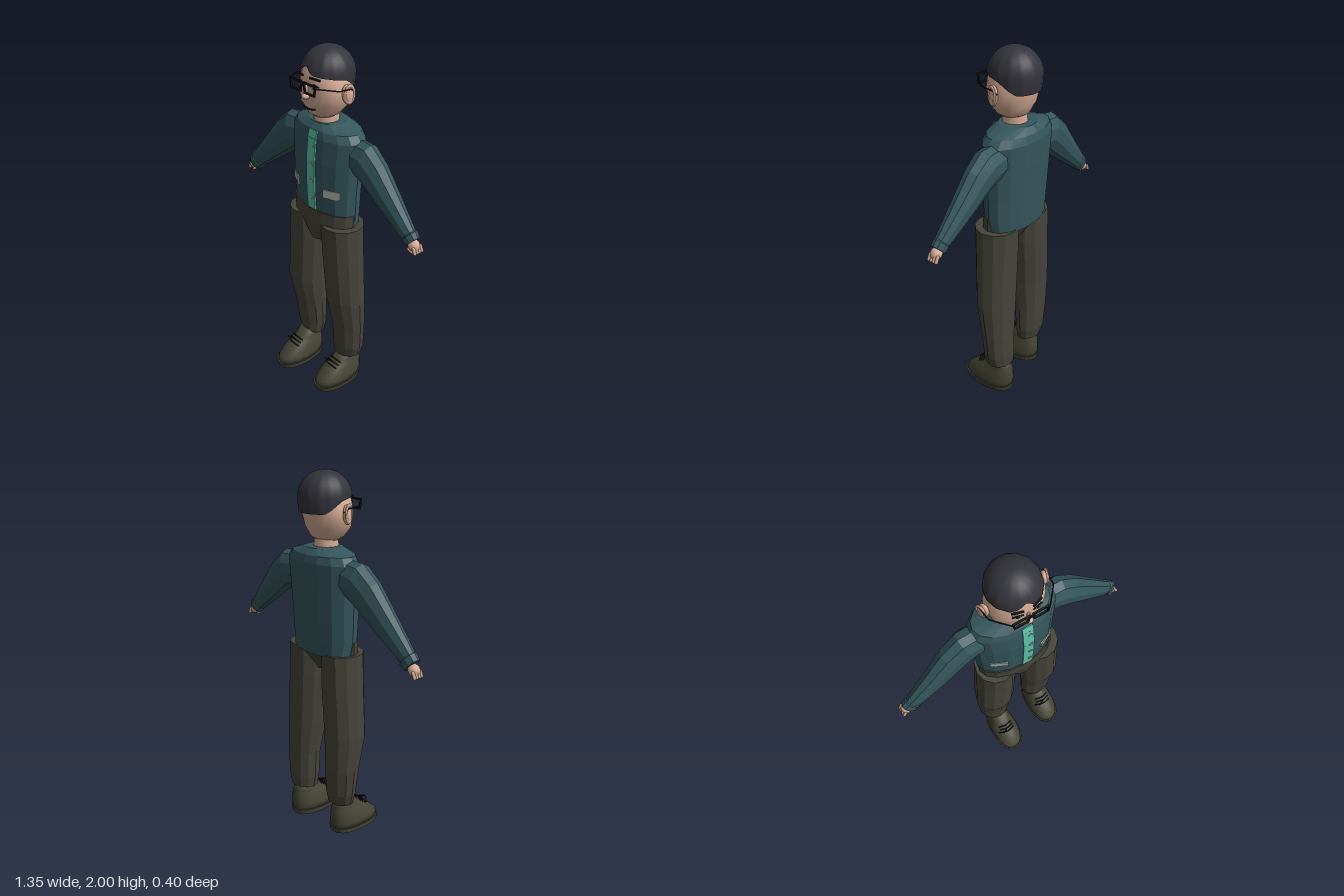
import * as THREE from 'three';

const mat = (name, color, extra = {}) => Object.assign(new THREE.MeshStandardMaterial({ color, ...extra }), { name });
const M = {
  shirt: mat('shirt teal', 0x35575d),
  placket: mat('placket mint', 0x5cc2a8),
  patch: mat('patch grey', 0xa3aaa0),
  trousers: mat('trouser olive', 0x46443a),
  shoe: mat('shoe olive', 0x454536),
  hair: mat('hair charcoal', 0x33333b, { side: THREE.DoubleSide }),
  skin: mat('skin', 0xd6ab95),
  ink: mat('ink black', 0x151518),
  white: mat('eye grey', 0xb9bcb8),
};

const V = (x, y, z) => new THREE.Vector3(x, y, z);

function add(parent, name, geometry, material, pos = [0, 0, 0], rot = [0, 0, 0], scale = [1, 1, 1]) {
  const mesh = new THREE.Mesh(geometry, material);
  mesh.name = name;
  mesh.position.set(...pos);
  mesh.rotation.set(...rot);
  mesh.scale.set(...scale);
  parent.add(mesh);
  return mesh;
}

// Skin elliptical rings {c, ru, rv, a} into a closed body; a turns the ring in the xy plane.
function loft(rings, sides, flat, power = 1) {
  const pos = [], idx = [];
  const bend = v => Math.sign(v) * Math.abs(v) ** power;
  for (const { c, ru, rv, a } of rings) {
    for (let i = 0; i < sides; i++) {
      const t = (i / sides) * Math.PI * 2;
      const u = bend(Math.cos(t)) * ru, v = bend(Math.sin(t)) * rv;
      pos.push(c[0] + Math.cos(a) * u, c[1] + Math.sin(a) * u, c[2] - v);
    }
  }
  const n = rings.length;
  for (let r = 0; r < n - 1; r++) {
    for (let i = 0; i < sides; i++) {
      const j = (i + 1) % sides, p = r * sides, q = p + sides;
      idx.push(p + i, p + j, q + j, p + i, q + j, q + i);
    }
  }
  const first = n * sides;
  pos.push(...rings[0].c, ...rings[n - 1].c);
  for (let i = 0; i < sides; i++) {
    const j = (i + 1) % sides, top = (n - 1) * sides;
    idx.push(first, j, i, first + 1, top + i, top + j);
  }
  let g = new THREE.BufferGeometry();
  g.setAttribute('position', new THREE.Float32BufferAttribute(pos, 3));
  g.setIndex(idx);
  if (flat) g = g.toNonIndexed();
  g.computeVertexNormals();
  return g;
}

// Level rings given as [y, xMin, xMax, zBack, zFront], bottom to top
const upright = (rows, sides, flat, power) => loft(rows.map(([y, x0, x1, z0, z1]) =>
  ({ c: [(x0 + x1) / 2, y, (z0 + z1) / 2], ru: (x1 - x0) / 2, rv: (z1 - z0) / 2, a: 0 })), sides, flat, power);

// Rings across a path of [x, y, z, radius in xy, radius in z]
const limb = (rows, sides) => loft(rows.map(([x, y, z, ru, rv], i) => {
  const p = rows[Math.max(i - 1, 0)], q = rows[Math.min(i + 1, rows.length - 1)];
  return { c: [x, y, z], ru, rv, a: Math.atan2(p[0] - q[0], q[1] - p[1]) };
}), sides, true);

const wire = (points, r) => new THREE.TubeGeometry(
  new THREE.CatmullRomCurve3(points.map(p => V(...p)), false, 'catmullrom', 0.1), points.length * 5, r, 5);

function buildTorso(g) {
  add(g, 'shirt', upright([
    [1.06, -0.19, 0.23, -0.172, 0.03], [1.14, -0.2, 0.24, -0.178, 0.06], [1.25, -0.205, 0.243, -0.185, 0.068],
    [1.42, -0.212, 0.25, -0.195, 0.07], [1.55, -0.22, 0.258, -0.2, 0.06], [1.59, -0.195, 0.225, -0.19, 0.05],
    [1.62, -0.095, 0.125, -0.16, 0.025]], 16, true), M.shirt);
  // Strip of plates down the shirt front
  const line = [[1.145, 0.061], [1.25, 0.068], [1.42, 0.07], [1.55, 0.06], [1.59, 0.05]];
  for (let i = 0; i < line.length - 1; i++) {
    const [y0, z0] = line[i], [y1, z1] = line[i + 1];
    add(g, 'placket', new THREE.BoxGeometry(0.06, Math.hypot(y1 - y0, z1 - z0), 0.008), M.placket,
      [0.035, (y0 + y1) / 2, (z0 + z1) / 2], [Math.atan2(z1 - z0, y1 - y0), 0, 0]);
  }
  for (const [y, z] of [[1.215, 0.07], [1.315, 0.073], [1.41, 0.074], [1.51, 0.067]])
    add(g, 'button', new THREE.CylinderGeometry(0.011, 0.011, 0.006, 8), M.patch, [0.045, y, z], [Math.PI / 2, 0, 0]);
  for (const s of [-1, 1])
    add(g, 'pocket', new THREE.BoxGeometry(0.095, 0.045, 0.009), M.patch,
      [0.021 + s * 0.139, 1.263, 0.037], [0, s * 0.48, 0]);
}

function buildArms(g) {
  const arms = {
    rightSleeve: [[-0.13, 1.49, -0.065, 0.09, 0.07], [-0.24, 1.475, -0.065, 0.105, 0.075], [-0.31, 1.42, -0.062, 0.1, 0.068],
      [-0.43, 1.305, -0.055, 0.078, 0.056], [-0.56, 1.185, -0.05, 0.053, 0.04], [-0.58, 1.165, -0.05, 0.05, 0.036],
      [-0.583, 1.162, -0.05, 0.056, 0.042], [-0.612, 1.135, -0.05, 0.05, 0.038]],
    leftSleeve: [[0.17, 1.48, -0.08, 0.09, 0.07], [0.28, 1.465, -0.082, 0.103, 0.073], [0.345, 1.42, -0.08, 0.093, 0.068],
      [0.46, 1.317, -0.077, 0.073, 0.056], [0.585, 1.21, -0.072, 0.05, 0.04], [0.605, 1.195, -0.072, 0.046, 0.035],
      [0.608, 1.193, -0.072, 0.051, 0.04], [0.633, 1.17, -0.072, 0.045, 0.036]],
  };
  for (const [name, path] of Object.entries(arms)) add(g, name, limb(path, 10), M.shirt);

  // Small curled hands with four fingers and a thumb
  const finger = new THREE.CapsuleGeometry(0.009, 0.026, 3, 7);
  for (const [name, s, x, y, z] of [['rightHand', -1, -0.62, 1.122, -0.053], ['leftHand', 1, 0.637, 1.16, -0.07]]) {
    const hand = new THREE.Group();
    hand.name = name;
    hand.position.set(x, y, z);
    hand.rotation.z = s * 0.8;
    add(hand, 'palm', new THREE.SphereGeometry(1, 10, 8), M.skin, [0, -0.008, 0], [0, 0, 0], [0.03, 0.034, 0.032]);
    for (let i = 0; i < 4; i++)
      add(hand, 'finger', finger, M.skin, [s * 0.006, -0.036, -0.026 + i * 0.016], [0, 0, -s * 0.35]);
    add(hand, 'thumb', finger, M.skin, [-s * 0.024, -0.025, 0.015], [0.3, 0, s * 0.2]);
    g.add(hand);
  }
}

function buildLegs(g) {
  add(g, 'hips', upright([[0.95, -0.025, 0.095, -0.09, 0.05], [1.07, -0.195, 0.24, -0.16, 0.069],
    [1.14, -0.2, 0.24, -0.165, 0.066]], 16, true), M.trousers);
  add(g, 'rightTrouserLeg', upright([
    [0.185, -0.195, -0.03, -0.125, 0.0], [0.25, -0.215, -0.02, -0.14, 0.005], [0.4, -0.227, -0.02, -0.15, 0.025],
    [0.6, -0.24, -0.01, -0.155, 0.07], [0.9, -0.225, 0.01, -0.16, 0.07], [1.07, -0.215, 0.005, -0.16, 0.073]], 12, true), M.trousers);
  add(g, 'leftTrouserLeg', upright([
    [0.185, 0.1, 0.27, -0.155, -0.01], [0.25, 0.09, 0.29, -0.16, 0.0], [0.4, 0.088, 0.298, -0.16, 0.012],
    [0.6, 0.065, 0.302, -0.16, 0.05], [0.9, 0.045, 0.285, -0.16, 0.065], [1.07, 0.04, 0.277, -0.16, 0.073]], 12, true), M.trousers);

  const sole = upright([[0, -0.085, 0.085, -0.16, 0.155], [0.03, -0.089, 0.089, -0.165, 0.16]], 28, true, 0.85);
  const upper = upright([[0.02, -0.083, 0.083, -0.16, 0.155], [0.06, -0.083, 0.083, -0.163, 0.143],
    [0.1, -0.074, 0.074, -0.163, 0.095], [0.13, -0.065, 0.065, -0.16, 0.055], [0.155, -0.056, 0.056, -0.153, 0.008],
    [0.2, -0.052, 0.052, -0.145, -0.025]], 24, false, 0.88);
  for (const [name, x, z] of [['rightShoe', -0.115, 0.042], ['leftShoe', 0.185, 0]]) {
    const shoe = new THREE.Group();
    shoe.name = name;
    shoe.position.set(x, 0, z);
    add(shoe, 'sole', sole, M.shoe);
    add(shoe, 'upper', upper, M.shoe);
    for (let i = 0; i < 3; i++)
      add(shoe, 'lace', wire([[-0.045, 0.125 + i * 0.013, 0.045 - i * 0.017], [0, 0.14 + i * 0.012, 0.06 - i * 0.018],
        [0.045, 0.125 + i * 0.013, 0.045 - i * 0.017]], 0.004), M.ink);
    add(shoe, 'laceEnd', wire([[0, 0.155, 0.04], [-0.03, 0.16, 0.06], [-0.06, 0.135, 0.04]], 0.004), M.ink);
    g.add(shoe);
  }
}

// Grooved cap of hair, long at the nape and swept up from a parting on the brow
function hairCap() {
  const around = 72, down = 12, pos = [], idx = [];
  for (let j = 0; j <= down; j++) {
    for (let i = 0; i <= around; i++) {
      const t = (i / around) * Math.PI * 2, front = Math.cos(t), side = Math.sin(t);
      let rim = front > 0 ? 1.855 + 0.025 * front : 1.855 + 0.062 * Math.max(-1, front * 1.6);
      rim += 0.035 * Math.exp(-(((side + 0.1) / 0.25) ** 2)) * (front > 0 ? 1 : 0);
      const a = (j / down) * Math.acos((rim - 1.865) / 0.135);
      const groove = 1 - 0.025 * Math.abs(Math.cos(t * 7)) * Math.sin(a);
      const r = Math.sin(Math.min(a, Math.PI / 2 + (a - Math.PI / 2) * 0.5)) * groove;
      pos.push(0.022 + side * r * 0.136, 1.865 + 0.135 * Math.cos(a), -0.054 + front * r * 0.141);
    }
  }
  for (let j = 0; j < down; j++) {
    for (let i = 0; i < around; i++) {
      const p = j * (around + 1) + i, q = p + around + 1;
      idx.push(p, q, q + 1, p, q + 1, p + 1);
    }
  }
  const geo = new THREE.BufferGeometry();
  geo.setAttribute('position', new THREE.Float32BufferAttribute(pos, 3));
  geo.setIndex(idx);
  geo.computeVertexNormals();
  return geo;
}

function buildHead(g) {
  const ball = new THREE.SphereGeometry(1, 14, 10);
  add(g, 'neck', new THREE.CylinderGeometry(0.063, 0.068, 0.1, 14), M.skin, [0.018, 1.635, -0.05]);
  add(g, 'head', upright([[1.648, -0.04, 0.075, -0.095, 0.02], [1.668, -0.07, 0.105, -0.125, 0.048],
    [1.72, -0.115, 0.15, -0.148, 0.072], [1.79, -0.13, 0.169, -0.163, 0.08], [1.85, -0.107, 0.149, -0.168, 0.08],
    [1.9, -0.09, 0.132, -0.16, 0.066], [1.95, -0.055, 0.1, -0.12, 0.025]], 24, false), M.skin);
  add(g, 'hair', hairCap(), M.hair);
  add(g, 'nose', ball, M.skin, [0.02, 1.772, 0.085], [0, 0, 0], [0.018, 0.017, 0.025]);
  add(g, 'noseBridge', ball, M.skin, [0.02, 1.8, 0.078], [0.3, 0, 0], [0.01, 0.035, 0.014]);
  add(g, 'mouth', wire([[-0.02, 1.704, 0.065], [0.025, 1.7, 0.069], [0.07, 1.711, 0.063]], 0.004), M.ink);

  const rim = new THREE.Shape();
  rim.moveTo(-0.046, 0.03).lineTo(-0.038, -0.027).lineTo(0.038, -0.027).lineTo(0.046, 0.03).closePath();
  const hole = new THREE.Path();
  hole.moveTo(-0.037, 0.021).lineTo(0.037, 0.021).lineTo(0.031, -0.019).lineTo(-0.031, -0.019).closePath();
  rim.holes.push(hole);
  const rimGeo = new THREE.ExtrudeGeometry(rim, { depth: 0.01, bevelEnabled: false });

  for (const s of [-1, 1]) {
    const x = 0.02 + s * 0.051;
    add(g, 'ear', ball, M.skin, [0.02 + s * 0.158, 1.792, -0.045], [0.15, s * -0.3, s * 0.15], [0.018, 0.052, 0.031]);
    add(g, 'earRim', new THREE.TorusGeometry(0.026, 0.006, 6, 16), M.skin,
      [0.02 + s * 0.17, 1.797, -0.045], [0, Math.PI / 2 - s * 0.3, 0], [1, 1.6, 1]);
    add(g, 'eye', ball, M.white, [x, 1.825, 0.071], [0, s * 0.35, 0], [0.025, 0.012, 0.007]);
    add(g, 'iris', ball, M.ink, [x, 1.825, 0.076], [0, s * 0.35, 0], [0.01, 0.011, 0.005]);
    add(g, 'eyelid', wire([[x - 0.026, 1.829, 0.075 + s * 0.006], [x, 1.839, 0.077],
      [x + 0.026, 1.829, 0.075 - s * 0.006]], 0.0035), M.ink);
    add(g, 'eyebrow', new THREE.BoxGeometry(0.058, 0.009, 0.008), M.ink, [x, 1.866, 0.073], [0, s * 0.35, -s * 0.1]);
    add(g, 'glassesRim', rimGeo, M.ink, [x, 1.822, 0.1]);
    add(g, 'glassesArm', wire([[0.02 + s * 0.096, 1.838, 0.105], [0.02 + s * 0.166, 1.826, 0.02],
      [0.02 + s * 0.172, 1.822, -0.05], [0.02 + s * 0.17, 1.805, -0.078]], 0.0035), M.ink);
  }
  add(g, 'glassesBridge', new THREE.BoxGeometry(0.026, 0.008, 0.01), M.ink, [0.02, 1.832, 0.105]);
}

export function createModel() {
  const model = new THREE.Group();
  model.name = 'standingMan';
  for (const [name, build] of [['torso', buildTorso], ['arms', buildArms], ['legs', buildLegs], ['head', buildHead]]) {
    const part = new THREE.Group();
    part.name = name;
    build(part);
    model.add(part);
  }
  return model;
}
